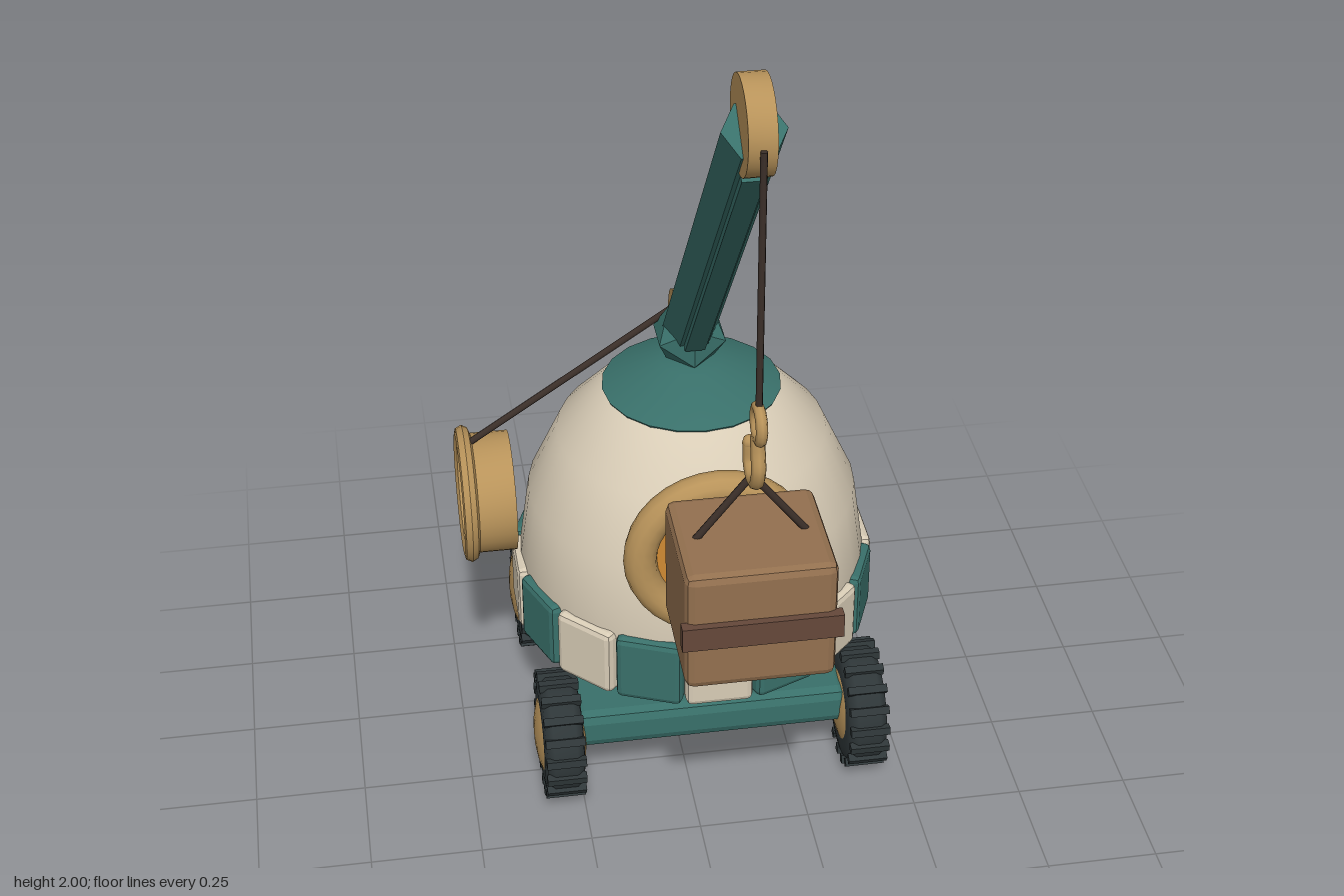
import * as THREE from 'three';
import { RoundedBoxGeometry } from 'three/addons/geometries/RoundedBoxGeometry.js';
import { toCreasedNormals } from 'three/addons/utils/BufferGeometryUtils.js';

const V = (x, y, z) => new THREE.Vector3(x, y, z);
const CX = 0.055, CZ = -0.235; // axis of the dome

function paint(name, color) {
  const m = new THREE.MeshStandardMaterial({ color });
  m.name = name;
  return m;
}

export function createModel() {
  const model = new THREE.Group();
  model.name = 'craneVehicle';
  const cream = paint('cream', 0xd8ccb6), teal = paint('teal', 0x39706a), gold = paint('brass', 0xb8935a);
  const rubber = paint('rubber', 0x2f3739), wood = paint('wood', 0x93704f), strapBrown = paint('strap brown', 0x65483a);
  const dark = paint('cable brown', 0x3b2f29), orange = paint('orange', 0xd08a33), white = paint('eye white', 0xdedcd6);

  function add(name, geo, mat, x = 0, y = 0, z = 0, parent = model) {
    const m = new THREE.Mesh(geo, mat);
    m.name = name;
    m.position.set(x, y, z);
    parent.add(m);
    return m;
  }
  // Box with one flat chamfer along its edges
  function chamferBox(w, h, d, r) {
    const g = new RoundedBoxGeometry(w, h, d, 1, r);
    g.computeVertexNormals();
    return g;
  }
  // Straight rod between two points
  function rod(name, a, b, r, mat, sides = 8) {
    const d = b.clone().sub(a);
    let g = new THREE.CylinderGeometry(r, r, d.length(), sides, 1, false, Math.PI / 2);
    if (sides < 8) g = toCreasedNormals(g, 0.3);
    const m = add(name, g, mat);
    m.position.copy(a).add(b).multiplyScalar(0.5);
    m.quaternion.setFromUnitVectors(V(0, 1, 0), d.normalize());
    return m;
  }
  // Turned shape from [radius, height] pairs
  const lathe = (pts, n, crease = 0.6) =>
    toCreasedNormals(new THREE.LatheGeometry(pts.map(p => new THREE.Vector2(...p)), n), crease);
  const domePoint = (deg, grow = 0) => {
    const t = deg * Math.PI / 180;
    return [Math.max(0, Math.cos(t) * (0.4 + grow)), 0.46 + Math.sin(t) * (0.5 + grow)];
  };

  // Dome body with its cap
  add('domeBody', lathe([[0, 0.305], [0.385, 0.305], [0.4, 0.46], ...[20, 40, 60, 80].map(d => domePoint(d))], 36), cream, CX, 0, CZ);
  add('domeCap', lathe([[0.19, 0.875], domePoint(60, 0.006), domePoint(80, 0.006), domePoint(90, 0.002)], 20), teal, CX, 0, CZ);

  // Ring of alternating blocks
  const ring = new THREE.Group();
  ring.name = 'blockRing';
  ring.position.set(CX, 0.382, CZ);
  model.add(ring);
  const blockGeo = chamferBox(0.152, 0.165, 0.06, 0.014);
  for (let i = 0; i < 16; i++) {
    const a = i * Math.PI / 8;
    const b = add('ringBlock', blockGeo, i % 2 ? teal : cream, Math.sin(a) * 0.386, 0, Math.cos(a) * 0.386, ring);
    b.rotation.y = a;
  }

  // Chassis plate
  add('chassis', chamferBox(0.64, 0.095, 0.66, 0.025), teal, CX, 0.178, CZ);

  // Wheels: tyre, tread bars and bulging hub
  const tyreGeo = lathe([[0, -0.043], [0.1, -0.046], [0.125, -0.042], [0.139, -0.026], [0.139, 0.026],
    [0.125, 0.042], [0.1, 0.046], [0, 0.043]], 32, 0.8);
  tyreGeo.rotateZ(Math.PI / 2);
  const hubGeo = new THREE.SphereGeometry(0.13, 24, 16).scale(0.46, 1, 1);
  const treadGeo = new THREE.BoxGeometry(0.09, 0.02, 0.018);
  for (const sx of [-1, 1]) for (const sz of [-1, 1]) {
    const wheel = new THREE.Group();
    wheel.name = 'wheel';
    wheel.position.set(CX + sx * 0.35, 0.149, CZ + sz * 0.28);
    model.add(wheel);
    add('tyre', tyreGeo, rubber, 0, 0, 0, wheel);
    add('hub', hubGeo, gold, 0, 0, 0, wheel);
    for (let i = 0; i < 18; i++) {
      const a = i * Math.PI / 9;
      add('treadBar', treadGeo, rubber, 0, Math.cos(a) * 0.138, Math.sin(a) * 0.138, wheel).rotation.x = a;
    }
  }

  // Porthole with a face behind it
  add('portholeRim', new THREE.TorusGeometry(0.172, 0.037, 12, 32), gold, CX, 0.692, 0.135);
  const disc = toCreasedNormals(new THREE.CylinderGeometry(0.152, 0.152, 0.05, 32), 0.6).rotateX(Math.PI / 2);
  add('faceDisc', disc, orange, CX, 0.692, 0.112);
  const eyeGeo = new THREE.SphereGeometry(1, 16, 12).scale(0.027, 0.05, 0.024);
  for (const s of [-1, 1]) add('eye', eyeGeo, white, CX + s * 0.049, 0.695, 0.14);

  // Cable reel on the side
  add('cableReel', lathe([[0, -0.06], [0.137, -0.06], [0.137, 0.025], [0.15, 0.03], [0.157, 0.043], [0.15, 0.057],
    [0.137, 0.06], [0.122, 0.054], [0.115, 0.035], [0, 0.035]], 32).rotateZ(Math.PI / 2), gold, -0.42, 0.645, CZ);

  // Boom with its knuckle, lower rail and pulleys
  const foot = V(CX, 1.01, -0.275), tip = V(CX, 1.895, 0.472);
  rod('boom', foot, tip, 0.063, teal, 6);
  const along = tip.clone().sub(foot).normalize();
  const under = V(0, -along.z, along.y);
  const rail = add('boomRail', new THREE.BoxGeometry(0.045, 1.02, 0.03), teal);
  rail.position.copy(foot).lerp(tip, 0.49).addScaledVector(under, 0.054);
  rail.quaternion.setFromUnitVectors(V(0, 1, 0), along);
  add('boomKnuckle', toCreasedNormals(new THREE.IcosahedronGeometry(0.088, 0), 0.1), teal, CX, 1.01, -0.262);
  for (const [name, y, z, r] of [['topPulley', 1.903, 0.465, 0.097], ['footPulley', 0.997, -0.31, 0.088]]) {
    const g = toCreasedNormals(new THREE.CylinderGeometry(r, r, 0.055, 28), 0.6).rotateZ(Math.PI / 2);
    add(name, g, gold, CX, y, z);
  }

  // Cables
  rod('boomCable', foot.clone().addScaledVector(under, -0.06), tip.clone().addScaledVector(under, -0.06), 0.009, dark);
  rod('reelCable', V(-0.45, 0.785, CZ), V(CX, 1.075, -0.305), 0.008, dark);
  rod('hoistCable', V(CX, 1.9, 0.567), V(CX, 1.34, 0.567), 0.007, dark);

  // Hook
  add('hookEye', new THREE.TorusGeometry(0.034, 0.012, 8, 20), gold, CX, 1.315, 0.567).rotation.y = Math.PI / 2;
  const hookPath = new THREE.CatmullRomCurve3([V(CX, 1.285, 0.558), V(CX, 1.25, 0.565), V(CX, 1.21, 0.575),
    V(CX, 1.172, 0.557), V(CX, 1.157, 0.52), V(CX, 1.172, 0.487), V(CX, 1.215, 0.48)]);
  add('hook', new THREE.TubeGeometry(hookPath, 24, 0.015, 8), gold);
  add('hookTip', new THREE.SphereGeometry(0.016, 8, 6), gold, CX, 1.215, 0.48);

  // Crate on its slings
  for (const s of [-1, 1]) rod('sling', V(CX, 1.155, 0.508), V(CX + s * 0.112, 1.012, 0.508), 0.008, dark);
  add('crate', chamferBox(0.307, 0.276, 0.278, 0.018), wood, CX, 0.879, 0.508);
  add('crateStrap', new THREE.BoxGeometry(0.325, 0.054, 0.025), strapBrown, CX, 0.88, 0.65);

  return model;
}
